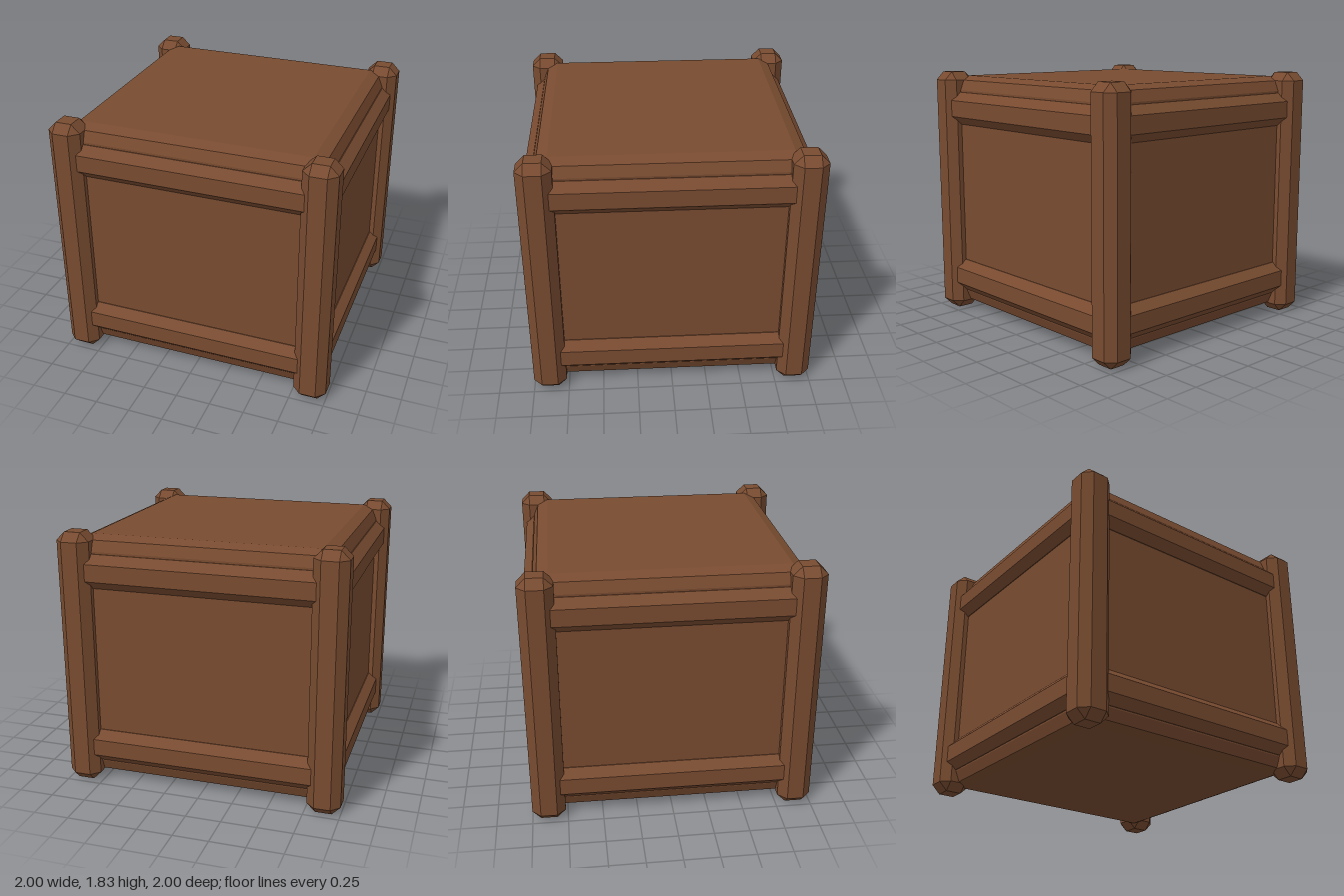
import * as THREE from 'three';
import { ConvexGeometry } from 'three/addons/geometries/ConvexGeometry.js';

// Box with bevelled edges: one segment is a plain chamfer, two a rounder edge
function bevelBox(w, h, d, r, segments) {
  const dirs = [[1, 0, 0], [0, 1, 0], [0, 0, 1]];
  if (segments === 2) {
    const a = Math.SQRT1_2, b = 1 / Math.sqrt(3);
    dirs.push([a, a, 0], [a, 0, a], [0, a, a], [b, b, b]);
  }
  const points = [];
  for (const sx of [-1, 1]) for (const sy of [-1, 1]) for (const sz of [-1, 1]) {
    for (const [x, y, z] of dirs) {
      points.push(new THREE.Vector3(
        sx * (w / 2 - r + r * x),
        sy * (h / 2 - r + r * y),
        sz * (d / 2 - r + r * z)));
    }
  }
  return new ConvexGeometry(points);
}

export function createModel() {
  const model = new THREE.Group();
  model.name = 'crate';
  const wood = new THREE.MeshStandardMaterial({ color: 0x784b30 });
  wood.name = 'brown wood';

  const add = (name, geometry, x, y, z, turn = 0) => {
    const mesh = new THREE.Mesh(geometry, wood);
    mesh.name = name;
    mesh.position.set(x, y, z);
    mesh.rotation.y = turn;
    model.add(mesh);
  };

  // Main box
  add('body', bevelBox(1.81, 1.765, 1.81, 0.105, 2), 0, 0.9175, 0);

  // Corner posts
  const post = bevelBox(0.235, 1.83, 0.235, 0.06, 1);
  for (const x of [-0.8825, 0.8825]) {
    for (const z of [-0.8825, 0.8825]) add('cornerPost', post, x, 0.915, z);
  }

  // Upper and lower rails around all four sides
  const rail = bevelBox(1.78, 0.24, 0.24, 0.06, 1);
  for (let i = 0; i < 4; i++) {
    const turn = i * Math.PI / 2;
    const x = Math.sin(turn) * 0.85, z = Math.cos(turn) * 0.85;
    add('lowerRail', rail, x, 0.27, z, turn);
    add('upperRail', rail, x, 1.56, z, turn);
  }
  return model;
}
